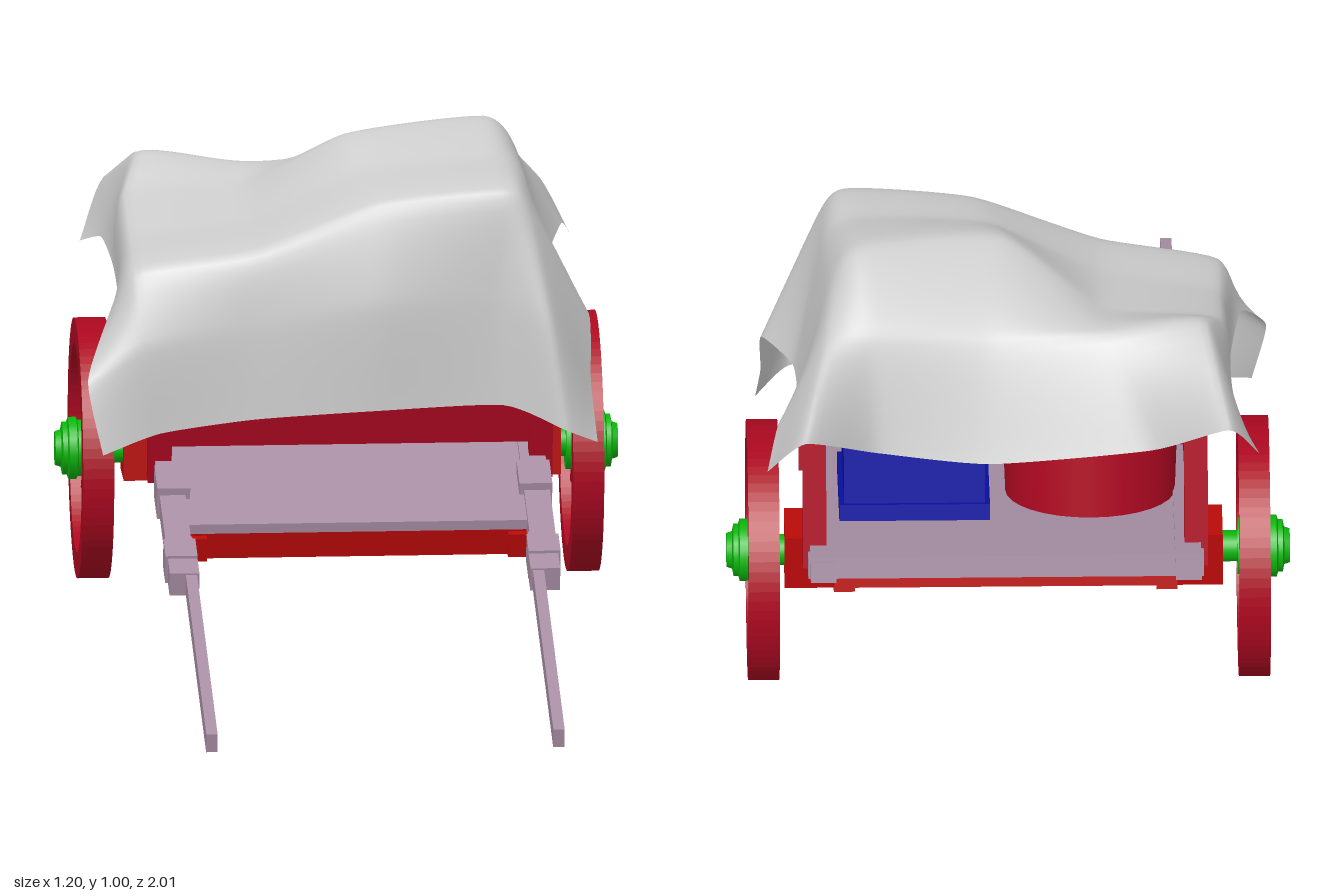
import * as THREE from 'three';

const mat = (color, side = THREE.FrontSide) => new THREE.MeshStandardMaterial({ color, side });
const RED = mat(0xac0820), FRAME = mat(0xb80a08), WOOD = mat(0xa88fa4);
const GREEN = mat(0x0cb50c), BLUE = mat(0x0810a0), CLOTH = mat(0xcccccc, THREE.DoubleSide);
const MID = 0.01; // centre line of the body in x

function add(parent, name, geometry, material, x = 0, y = 0, z = 0) {
  const mesh = new THREE.Mesh(geometry, material);
  mesh.name = name;
  mesh.position.set(x, y, z);
  parent.add(mesh);
  return mesh;
}

// Box given by its extents along each axis
function box(parent, name, material, [x0, x1], [y0, y1], [z0, z1]) {
  return add(parent, name, new THREE.BoxGeometry(x1 - x0, y1 - y0, z1 - z0), material,
    (x0 + x1) / 2, (y0 + y1) / 2, (z0 + z1) / 2);
}

// Spoked wheel, built with its outer side facing +x
function makeWheel() {
  const wheel = new THREE.Group();
  const ring = new THREE.Shape().absarc(0, 0, 0.277, 0, Math.PI * 2);
  ring.holes.push(new THREE.Path().absarc(0, 0, 0.222, 0, Math.PI * 2, true));
  const rim = new THREE.ExtrudeGeometry(ring, { depth: 0.066, bevelEnabled: false, curveSegments: 40 });
  rim.rotateY(Math.PI / 2);
  add(wheel, 'rim', rim, RED, 0.488);

  for (let i = 0; i < 10; i++) {
    const spoke = new THREE.CylinderGeometry(0.012, 0.015, 0.19, 8);
    spoke.translate(0, 0.135, 0);
    spoke.rotateX((i + 0.5) * Math.PI / 5);
    add(wheel, 'spoke', spoke, RED, 0.52);
  }

  const profile = [[0, 0.44], [0.033, 0.44], [0.033, 0.487], [0.06, 0.487], [0.06, 0.55], [0.066, 0.553],
    [0.066, 0.57], [0.056, 0.573], [0.056, 0.583], [0.04, 0.586], [0.036, 0.598], [0, 0.598]];
  // doubled points keep the steps crisp
  const hub = new THREE.LatheGeometry(profile.flatMap(p => [new THREE.Vector2(...p), new THREE.Vector2(...p)]), 24);
  hub.rotateZ(-Math.PI / 2);
  add(wheel, 'hub', hub, GREEN);
  return wheel;
}

// Draped cover: control rows from the front hem to the rear hem, each from -x to +x
const COVER = [
  [[-.525, .385, -.085], [-.40, .42, -.13], [-.20, .445, -.14], [.06, .465, -.12], [.33, .47, -.135], [.46, .425, -.085], [.53, .385, -.14]],
  [[-.555, .54, -.12], [-.43, .61, -.13], [-.20, .65, -.145], [.07, .70, -.115], [.32, .71, -.14], [.43, .66, -.115], [.52, .50, -.215]],
  [[-.50, .66, -.25], [-.45, .76, -.20], [-.20, .80, -.18], [.07, .90, -.17], [.33, .925, -.17], [.39, .89, -.19], [.52, .63, -.29]],
  [[-.475, .66, -.42], [-.45, .79, -.38], [-.20, .83, -.36], [.04, .94, -.33], [.32, .96, -.34], [.39, .91, -.36], [.455, .655, -.44]],
  [[-.475, .68, -.58], [-.45, .84, -.56], [-.20, .86, -.54], [.01, .985, -.47], [.31, 1.005, -.53], [.38, .93, -.55], [.45, .675, -.60]],
  [[-.49, .70, -.74], [-.42, .90, -.68], [-.20, .875, -.68], [.04, .87, -.68], [.29, .895, -.70], [.39, .88, -.71], [.49, .71, -.76]],
  [[-.53, .67, -.83], [-.465, .79, -.925], [-.30, .68, -.83], [.04, .63, -.80], [.28, .66, -.80], [.435, .78, -.95], [.515, .66, -.87]],
];

function makeCover(n = 48) {
  const curve = pts => new THREE.CatmullRomCurve3(pts, false, 'catmullrom', 0.3);
  const rows = COVER.map(row => curve(row.map(p => new THREE.Vector3(...p))));
  const geometry = new THREE.PlaneGeometry(1, 1, n, n);
  const pos = geometry.attributes.position;
  for (let i = 0; i <= n; i++) {
    const column = curve(rows.map(r => r.getPoint(i / n)));
    for (let j = 0; j <= n; j++) {
      const p = column.getPoint(1 - j / n);
      pos.setXYZ(j * (n + 1) + i, p.x, p.y, p.z);
    }
  }
  geometry.computeVertexNormals();
  return geometry;
}

export function createModel() {
  const model = new THREE.Group();
  model.name = 'coveredHandcart';

  // Tilted body: local y is across the bed, local z runs along it
  const body = new THREE.Group();
  body.name = 'body';
  body.position.set(MID, 0.255, 0);
  body.rotation.x = 0.227;
  model.add(body);

  box(body, 'deck', WOOD, [-0.37, 0.37], [-0.01, 0.012], [-0.935, 0.03]);
  box(body, 'rearBar', WOOD, [-0.42, 0.42], [-0.018, 0.03], [-1.01, -0.97]);
  box(body, 'frontBoard', RED, [-0.38, 0.38], [0.05, 0.27], [-0.29, -0.262]);
  for (const z of [-0.01, -0.21, -0.88])
    box(body, 'crossBeam', FRAME, [-0.35, 0.36], [-0.076, -0.012], [z - 0.025, z + 0.025]);

  for (const s of [-1, 1]) {
    const span = (a, b) => (s < 0 ? [-b, -a] : [a, b]);
    // Shaft, its sleeves and the rail it is joined to
    box(body, 'shaft', WOOD, span(0.357, 0.381), [-0.022, 0.02], [0.1, 1.025]);
    box(body, 'rail', WOOD, span(0.36, 0.415), [-0.022, 0.022], [-1.025, 0.16]);
    box(body, 'frontSleeve', WOOD, span(0.352, 0.42), [-0.034, 0.03], [0.13, 0.21]);
    box(body, 'sleeveTip', WOOD, span(0.352, 0.415), [-0.028, 0.024], [0.21, 0.28]);
    box(body, 'rearSleeve', WOOD, span(0.35, 0.42), [-0.034, 0.038], [-0.2, -0.09]);
    box(body, 'sideBeam', FRAME, span(0.32, 0.365), [-0.076, -0.022], [-0.93, 0.03]);
    // Side boards and posts
    box(body, 'lowerSideBoard', RED, span(0.385, 0.41), [0.05, 0.13], [-0.91, -0.25]);
    box(body, 'upperSideBoard', RED, span(0.385, 0.41), [0.205, 0.285], [-0.91, -0.25]);
    for (const z of [-0.27, -0.89])
      box(body, 'post', RED, span(0.38, 0.43), [-0.03, 0.29], [z - 0.02, z + 0.02]);
  }

  // Load under the cover: a framed crate and a tub
  box(body, 'crate', BLUE, [0.04, 0.34], [0.012, 0.42], [-0.72, -0.4]);
  for (const y of [0.03, 0.2, 0.4])
    box(body, 'crateBand', BLUE, [0.03, 0.35], [y - 0.018, y + 0.018], [-0.73, -0.39]);
  add(body, 'tub', new THREE.CylinderGeometry(0.19, 0.18, 0.26, 32), RED, -0.185, 0.142, -0.54);

  // Axle and wheels
  box(model, 'axleBlock', FRAME, [-0.455, 0.475], [0.22, 0.345], [-0.64, -0.52]);
  for (const s of [1, -1]) {
    const wheel = makeWheel();
    wheel.name = s > 0 ? 'leftWheel' : 'rightWheel';
    wheel.position.set(0, 0.279, -0.58);
    wheel.rotation.y = s > 0 ? 0 : Math.PI;
    model.add(wheel);
  }

  add(model, 'clothCover', makeCover(), CLOTH);
  return model;
}
